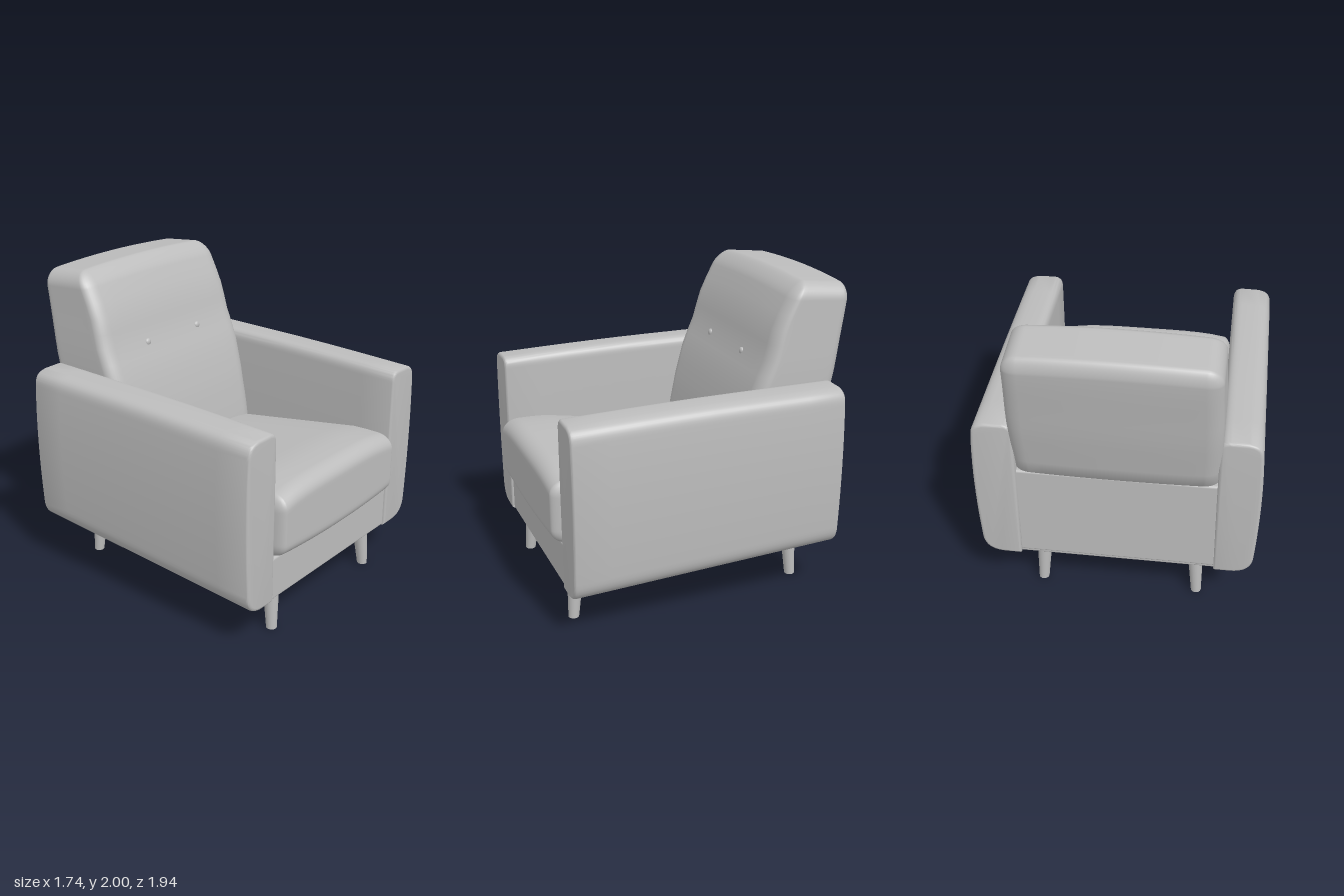
import * as THREE from 'three';
import { mergeVertices, toCreasedNormals } from 'three/addons/utils/BufferGeometryUtils.js';

const { smoothstep, lerp } = THREE.MathUtils;

// Linear lookup in a short list of [key, value] pairs with rising keys
function lookup(table, k) {
  for (let i = 1; i < table.length; i++) {
    const [k0, v0] = table[i - 1], [k1, v1] = table[i];
    if (k <= k1 || i === table.length - 1) return lerp(v0, v1, (k - k0) / (k1 - k0));
  }
}

// Box with elliptical rounded edges (one radius per axis), then bent by a rule
function softBox(size, radius, centre, warp) {
  const n = 20, core = 0.6;
  let geo = new THREE.BoxGeometry(2, 2, 2, n, n, n);
  geo.deleteAttribute('uv');
  geo.deleteAttribute('normal');
  geo = mergeVertices(geo, 1e-4);
  const pos = geo.attributes.position, p = new THREE.Vector3();
  for (let i = 0; i < pos.count; i++) {
    const u = [pos.getX(i), pos.getY(i), pos.getZ(i)];
    const q = u.map(a => Math.sign(a) * Math.tan(Math.max(0, Math.abs(a) - core) / (1 - core) * Math.PI / 4));
    const len = Math.hypot(...q);
    const c = u.map((a, k) => centre[k] + Math.max(-1, Math.min(1, a / core)) * (size[k] / 2 - radius[k])
      + q[k] / len * radius[k]);
    p.set(...c);
    if (warp) warp(p);
    pos.setXYZ(i, p.x, p.y, p.z);
  }
  geo.computeVertexNormals();
  return geo;
}

// Arm: rounded front outline run from front to back, underside rising to the rear
function armGeometry(s) {
  const shape = new THREE.Shape();
  shape.moveTo(s * 0.61, 0.265);
  shape.lineTo(s * 0.71, 0.265);
  shape.bezierCurveTo(s * 0.8, 0.265, s * 0.85, 0.31, s * 0.853, 0.4);
  shape.bezierCurveTo(s * 0.872, 0.7, s * 0.875, 1.0, s * 0.858, 1.25);
  shape.bezierCurveTo(s * 0.855, 1.32, s * 0.83, 1.34, s * 0.77, 1.35);
  shape.lineTo(s * 0.67, 1.352);
  shape.bezierCurveTo(s * 0.63, 1.352, s * 0.605, 1.335, s * 0.605, 1.28);
  shape.lineTo(s * 0.605, 0.9);
  const b = 0.02;
  const geo = new THREE.ExtrudeGeometry(shape, {
    depth: 1.73 - 2 * b, steps: 8, curveSegments: 10,
    bevelSize: b, bevelThickness: b, bevelOffset: -b, bevelSegments: 4,
  });
  geo.translate(0, 0, -0.81 + b);
  const pos = geo.attributes.position;
  for (let i = 0; i < pos.count; i++) {
    const y = pos.getY(i), f = (0.92 - pos.getZ(i)) / 1.73;
    const topLift = 0.02 * Math.sin(Math.min(1, f * 1.6) * Math.PI / 2);
    pos.setY(i, y + lerp(0.07 * f, topLift, (y - 0.265) / 1.085));
  }
  return toCreasedNormals(geo, 0.6);
}

export function createModel() {
  const model = new THREE.Group();
  const grey = new THREE.MeshStandardMaterial({ color: 0xbcbcbc });
  grey.name = 'grey';
  const add = (name, geo) => {
    const mesh = new THREE.Mesh(geo, grey);
    mesh.name = name;
    model.add(mesh);
    return mesh;
  };

  add('leftArm', armGeometry(1));
  add('rightArm', armGeometry(-1));

  // Base frame with a sloping underside
  add('base', softBox([1.23, 0.28, 1.69], [0.01, 0.015, 0.015], [0, 0.405, 0.06], p => {
    p.y += 0.07 * (0.905 - p.z) / 1.69 * (1 - smoothstep(p.y, 0.3, 0.5));
  }));
  add('backPanel', softBox([1.23, 0.66, 0.2], [0.01, 0.015, 0.015], [0, 0.685, -0.69]));

  // Seat cushion: crowned, sinking towards the back
  add('seatCushion', softBox([1.21, 0.45, 1.35], [0.05, 0.09, 0.11], [0, 0.75, 0.295], p => {
    const up = smoothstep(p.y, 0.6, 0.9), side = (p.x / 0.6) ** 2;
    p.y += lerp(-0.012 + 0.03 * side, -0.04 * side * side, up);
    p.y -= 0.17 * Math.max(0, 0.7 - p.z) * up;
  }));

  // Back cushion: front and rear faces follow two leaning profiles
  const frontFace = [[0.65, -0.2], [0.8, -0.215], [1.1, -0.27], [1.37, -0.345], [1.49, -0.405],
    [1.7, -0.46], [1.85, -0.525], [1.93, -0.57], [2, -0.62]];
  const rearFace = [[0.65, -0.68], [0.94, -0.72], [1.02, -0.82], [1.4, -0.9], [1.7, -0.945],
    [1.88, -0.97], [2, -0.975]];
  add('backCushion', softBox([1.25, 1.35, 1], [0.1, 0.1, 0.14], [0, 1.325, 0], p => {
    const t = p.z + 0.5, top = smoothstep(p.y, 1.5, 2), side = (p.x / 0.6) ** 2;
    p.z = lerp(lookup(rearFace, p.y) + 0.012 * side, lookup(frontFace, p.y), t);
    p.y -= top * (0.035 * (1 - t) + 0.02 * side);
    p.x *= 1 - 0.025 * smoothstep(p.y, 1.4, 1.9) - 0.02 * (1 - smoothstep(p.y, 0.9, 1.4));
  }));

  for (const s of [1, -1]) {
    // Buttons on the back cushion
    const button = add('button', new THREE.SphereGeometry(0.025, 16, 12));
    button.position.set(s * 0.237, 1.49, -0.408);
    button.scale.z = 0.7;

    // Tapered, splayed legs, each with a small stud beside it
    for (const [zTop, zFoot, yTop, zStud] of [[0.805, 0.83, 0.3, 0.83], [-0.645, -0.668, 0.37, -0.635]]) {
      const leg = new THREE.CylinderGeometry(0.052, 0.033, yTop, 20);
      leg.applyMatrix4(new THREE.Matrix4().set(
        1, s * -0.018 / yTop, 0, s * 0.495,
        0, 1, 0, yTop / 2,
        0, (zTop - zFoot) / yTop, 1, (zTop + zFoot) / 2,
        0, 0, 0, 1));
      add('leg', leg);
      const stud = add('stud', new THREE.SphereGeometry(0.013, 10, 8));
      stud.position.set(s * 0.59, yTop - 0.045, zStud);
    }
  }
  return model;
}
